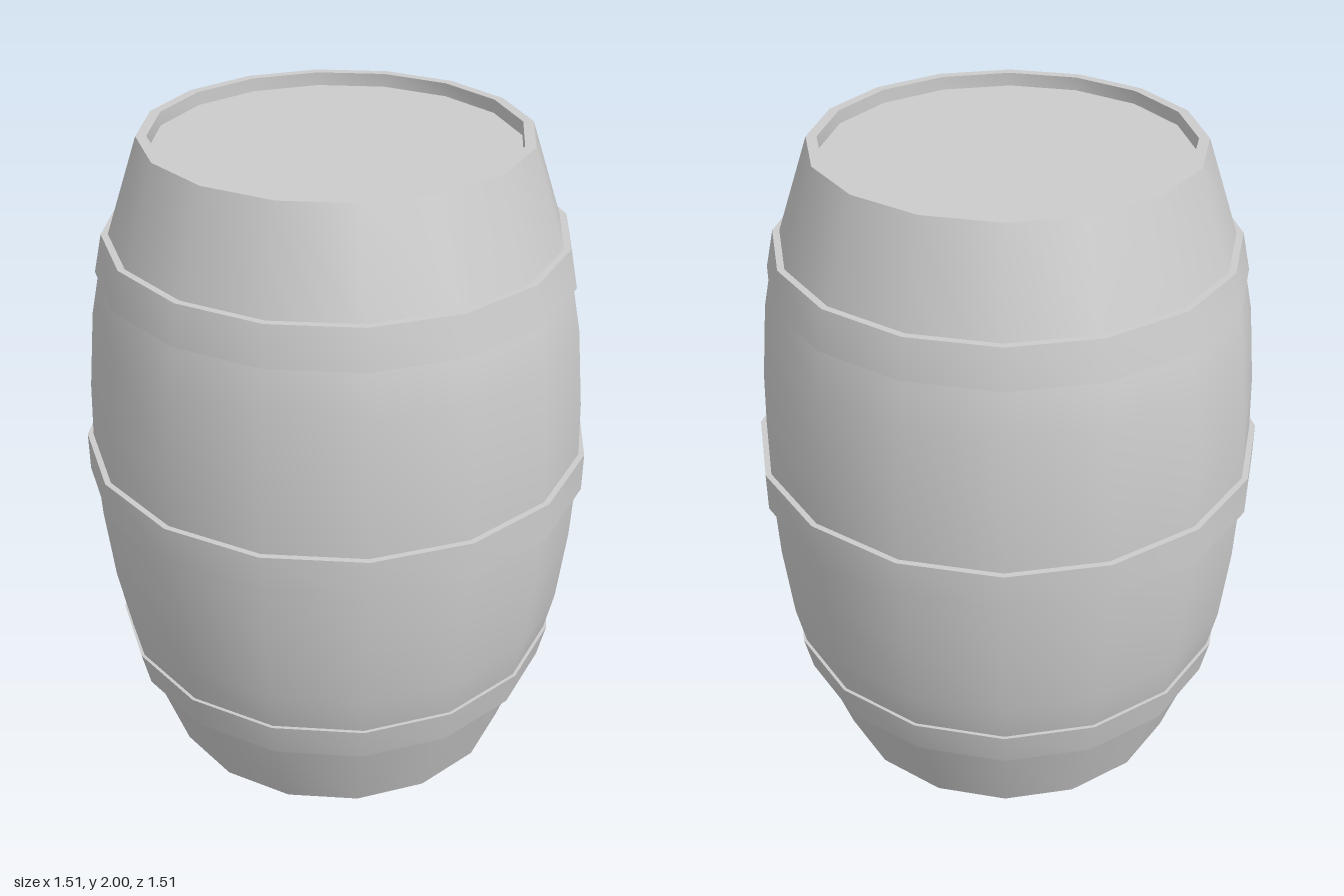
import * as THREE from 'three';
import { toCreasedNormals } from 'three/addons/utils/BufferGeometryUtils.js';

const SIDES = 16;
const material = new THREE.MeshStandardMaterial({ color: 0xcccccc });

// Revolve a profile of [half-width across flats, height] points, flats facing the axes
function revolve(name, profile) {
  const toCorner = 1 / Math.cos(Math.PI / SIDES);
  const points = profile.map(([r, y]) => new THREE.Vector2(r * toCorner, y));
  const lathe = new THREE.LatheGeometry(points, SIDES, Math.PI / SIDES);
  const mesh = new THREE.Mesh(toCreasedNormals(lathe, Math.PI / 6), material);
  mesh.name = name;
  return mesh;
}

export function createModel() {
  const barrel = new THREE.Group();
  barrel.name = 'barrel';

  // Staves: lower half from the recessed bottom to the belly, mirrored upward
  const lower = [
    [0, 0.04], [0.52, 0.04], [0.52, 0], [0.55, 0],
    [0.645, 0.285], [0.68, 0.4], [0.707, 0.53], [0.731, 0.77],
  ];
  const upper = lower.map(([r, y]) => [r, 2 - y]).reverse();
  barrel.add(revolve('staves', [...lower, [0.74, 1], ...upper]));

  // Hoops: the outer ones taper with the barrel, inner edges sunk into the staves
  const hoops = [
    ['lowerHoop', 0.285, 0.665, 0.4, 0.69],
    ['middleHoop', 0.94, 0.755, 1.06, 0.755],
    ['upperHoop', 1.6, 0.69, 1.715, 0.665],
  ];
  for (const [name, y0, r0, y1, r1] of hoops) {
    barrel.add(revolve(name, [[r0 - 0.04, y0], [r0, y0], [r1, y1], [r1 - 0.04, y1]]));
  }
  return barrel;
}
